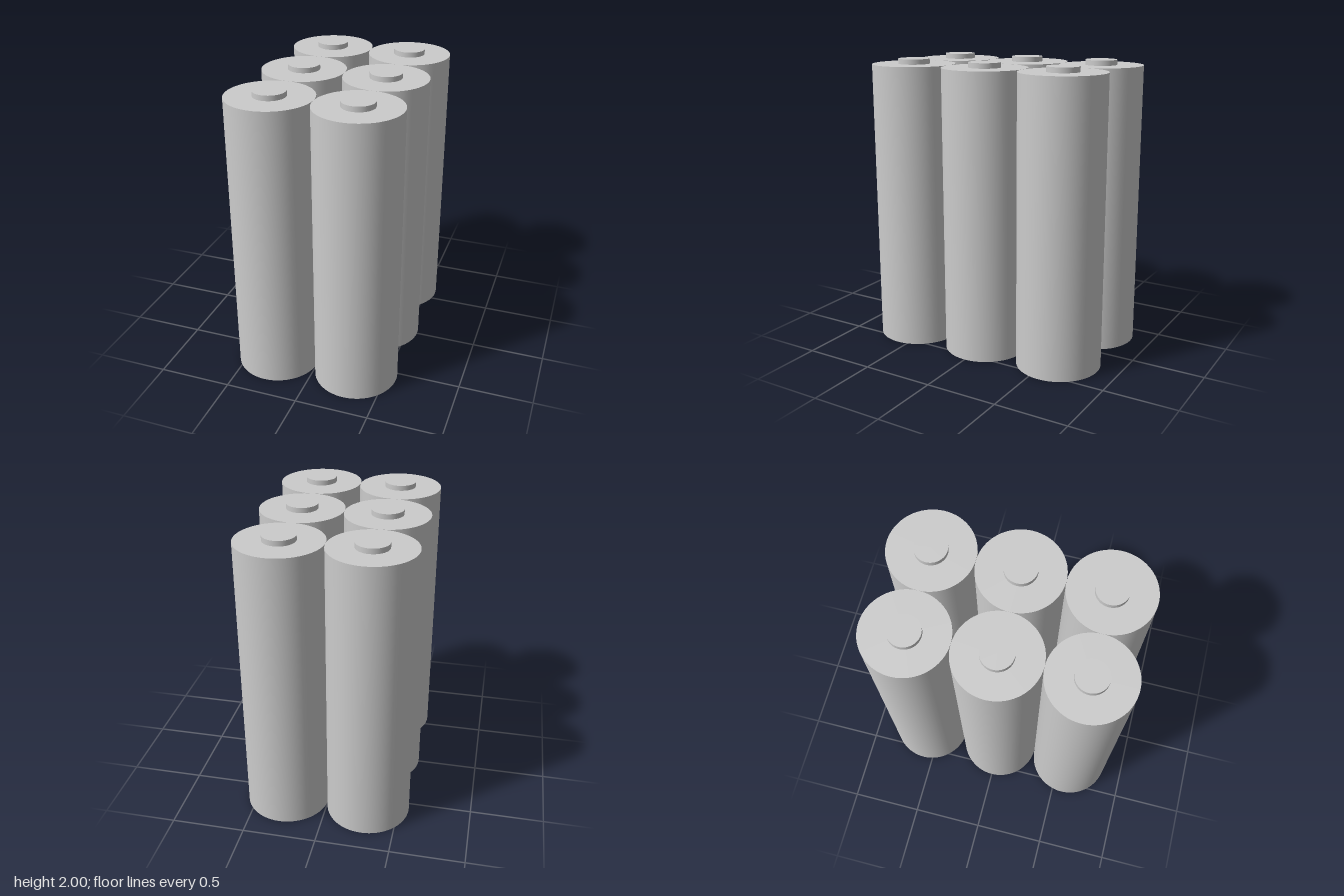
import * as THREE from 'three';

const RADIUS = 0.287;
const BODY_HEIGHT = 1.965;
const NUB_RADIUS = 0.108;
const NUB_HEIGHT = 0.035;

export function createModel() {
  const model = new THREE.Group();
  model.name = 'batteryPack';

  const material = new THREE.MeshStandardMaterial({ color: 0xcccccc });
  const bodyGeometry = new THREE.CylinderGeometry(RADIUS, RADIUS, BODY_HEIGHT, 64);
  const nubGeometry = new THREE.CylinderGeometry(NUB_RADIUS, NUB_RADIUS, NUB_HEIGHT, 48);

  // One cell: a plain can with a raised contact on top
  function createCell(x, z) {
    const cell = new THREE.Group();
    cell.name = 'batteryCell';
    cell.position.set(x, 0, z);

    const body = new THREE.Mesh(bodyGeometry, material);
    body.name = 'cellBody';
    body.position.y = BODY_HEIGHT / 2;

    const nub = new THREE.Mesh(nubGeometry, material);
    nub.name = 'positiveTerminal';
    nub.position.y = BODY_HEIGHT + NUB_HEIGHT / 2;

    cell.add(body, nub);
    return cell;
  }

  // Two columns by three rows, touching each other
  for (const column of [-1, 1]) {
    for (const row of [-1, 0, 1]) {
      model.add(createCell(column * RADIUS, row * 2 * RADIUS));
    }
  }
  return model;
}
